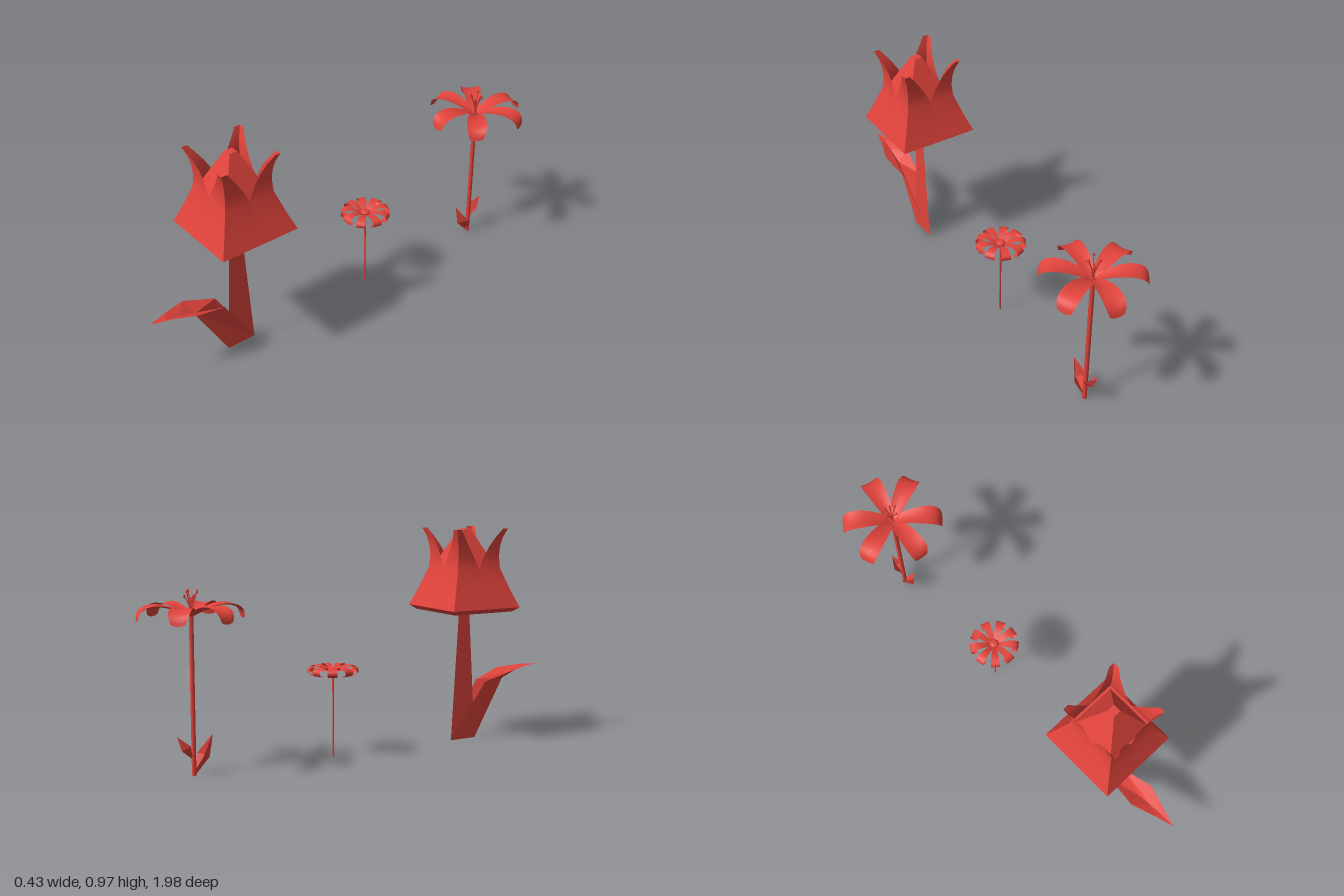
import * as THREE from 'three';

const smooth = new THREE.MeshStandardMaterial({ color: 0xe0433b, side: THREE.DoubleSide });
const faceted = new THREE.MeshStandardMaterial({ color: 0xe0433b, side: THREE.DoubleSide, flatShading: true });

function add(parent, name, geometry, material = smooth) {
  const mesh = new THREE.Mesh(geometry, material);
  mesh.name = name;
  parent.add(mesh);
  return mesh;
}

// Surface through equal-length rows of [x, y, z] points
function loft(rows) {
  const n = rows[0].length, index = [];
  for (let i = 0; i < rows.length - 1; i++) {
    for (let j = 0; j < n - 1; j++) {
      const a = i * n + j, b = a + 1, c = a + n, d = c + 1;
      index.push(a, c, b, b, c, d);
    }
  }
  const g = new THREE.BufferGeometry();
  g.setAttribute('position', new THREE.Float32BufferAttribute(rows.flat(2), 3));
  g.setIndex(index);
  g.computeVertexNormals();
  return g;
}

// Petal reaching along +z: profile of [radius, height], half widths by length, raised edges
function petal(profile, widths, trough) {
  const path = new THREE.CatmullRomCurve3(profile.map(([r, y]) => new THREE.Vector3(0, y, r)));
  const width = new THREE.CatmullRomCurve3(widths.map((w, i) => new THREE.Vector3(w, i, 0)));
  const rows = [];
  for (let i = 0; i <= 14; i++) {
    const p = path.getPoint(i / 14), w = width.getPoint(i / 14).x;
    rows.push([-1, -0.5, 0, 0.5, 1].map(s => [s * w, p.y + trough * s * s, p.z]));
  }
  return loft(rows);
}

// Folded leaf, rows of [half width, edge y, edge z, keel y, keel z]
const leaf = rows => loft(rows.map(([w, ye, ze, yk, zk]) => [[-w, ye, ze], [0, yk, zk], [w, ye, ze]]));

const square = (top, bottom, height) =>
  new THREE.CylinderGeometry(top * Math.SQRT2, bottom * Math.SQRT2, height, 4).rotateY(Math.PI / 4);

function tulip() {
  const g = new THREE.Group();
  g.name = 'tulip';
  add(g, 'flowerBase', square(0.18, 0.155, 0.02), faceted).position.y = 0.61;
  add(g, 'innerBud', square(0.018, 0.106, 0.18), faceted).position.y = 0.88;

  // Four corner petals, two wings each: [height, half size, inner edge]
  const outline = [[0.62, 0.18, 0], [0.7, 0.148, 0], [0.795, 0.115, 0], [0.85, 0.111, 0.028],
    [0.895, 0.114, 0.055], [0.935, 0.123, 0.083], [0.973, 0.138, 0.112]];
  for (let k = 0; k < 4; k++) {
    const p = new THREE.Group();
    p.name = 'cornerPetal';
    p.rotation.y = k * Math.PI / 2;
    add(p, 'petalWing', loft(outline.map(([y, h, e]) => [[e, y, h], [h, y, h]])));
    add(p, 'petalWing', loft(outline.map(([y, h, e]) => [[h, y, h], [h, y, e]])));
    g.add(p);
  }

  // Flat stem and folded leaf
  add(g, 'stem', loft([[[0, 0, -0.063], [0, 0, 0.07]], [[0, 0.61, -0.025], [0, 0.61, 0.03]]]), faceted);
  add(g, 'leaf', leaf([[0, 0, -0.063, 0, 0.07], [0.037, 0.265, 0.1, 0.268, 0.225],
    [0.06, 0.308, 0.24, 0.298, 0.3], [0.028, 0.319, 0.34, 0.315, 0.36], [0, 0.32, 0.43, 0.32, 0.43]]), faceted);
  g.position.set(-0.004, 0, 0.555);
  return g;
}

function daisy() {
  const g = new THREE.Group();
  g.name = 'daisy';
  add(g, 'stem', new THREE.CylinderGeometry(0.004, 0.004, 0.375, 6)).position.y = 0.1875;
  const shape = petal([[0.008, 0.372], [0.03, 0.385], [0.06, 0.398], [0.09, 0.398], [0.106, 0.388],
    [0.108, 0.374], [0.096, 0.364], [0.08, 0.364]], [0.006, 0.014, 0.02, 0.021, 0.019], 0);
  for (let k = 0; k < 9; k++) add(g, 'petal', shape).rotation.y = k * Math.PI * 2 / 9;
  const centre = add(g, 'flowerCentre', new THREE.SphereGeometry(0.021, 14, 8));
  centre.scale.y = 0.5;
  centre.position.y = 0.384;
  g.position.set(-0.005, 0, -0.13);
  return g;
}

function lily() {
  const g = new THREE.Group();
  g.name = 'lily';
  add(g, 'stem', new THREE.CylinderGeometry(0.01, 0.01, 0.66, 8)).position.y = 0.33;

  // Six recurved petals in two alternating rings
  const shape = petal([[0.004, 0.652], [0.05, 0.673], [0.1, 0.69], [0.15, 0.695], [0.19, 0.685],
    [0.21, 0.665], [0.217, 0.638]], [0.018, 0.033, 0.043, 0.042, 0.03], 0.008);
  for (const angle of [24, 78, 144, 198, 264, 318]) {
    add(g, 'petal', shape).rotation.y = THREE.MathUtils.degToRad(angle + 90);
  }

  // Stamens and central pistil
  for (let k = 0; k < 6; k++) {
    const a = k * Math.PI / 3, x = Math.cos(a), z = Math.sin(a), top = k % 2 ? 0.735 : 0.755;
    const path = new THREE.CatmullRomCurve3([[0.003, 0.655], [0.008, 0.7], [0.026, top]]
      .map(([r, y]) => new THREE.Vector3(r * x, y, r * z)));
    add(g, 'stamen', new THREE.TubeGeometry(path, 8, 0.0025, 5));
    const tip = add(g, 'anther', new THREE.SphereGeometry(0.005, 8, 6));
    tip.scale.y = 1.7;
    tip.position.set(0.026 * x, top, 0.026 * z);
  }
  add(g, 'pistil', new THREE.CylinderGeometry(0.003, 0.004, 0.08, 6)).position.y = 0.69;

  // Two folded leaves at the foot
  add(g, 'frontLeaf', leaf([[0, 0.005, -0.005, 0, 0.005], [0.034, 0.085, 0.03, 0.07, 0.07],
    [0, 0.165, 0.085, 0.165, 0.085]]), faceted);
  add(g, 'backLeaf', leaf([[0, 0.075, -0.005, 0.07, -0.008], [0.03, 0.13, -0.025, 0.105, -0.05],
    [0, 0.168, -0.072, 0.168, -0.072]]), faceted);
  g.position.set(-0.001, 0, -0.778);
  return g;
}

export function createModel() {
  const model = new THREE.Group();
  model.name = 'threeFlowers';
  model.add(tulip(), daisy(), lily());
  return model;
}
